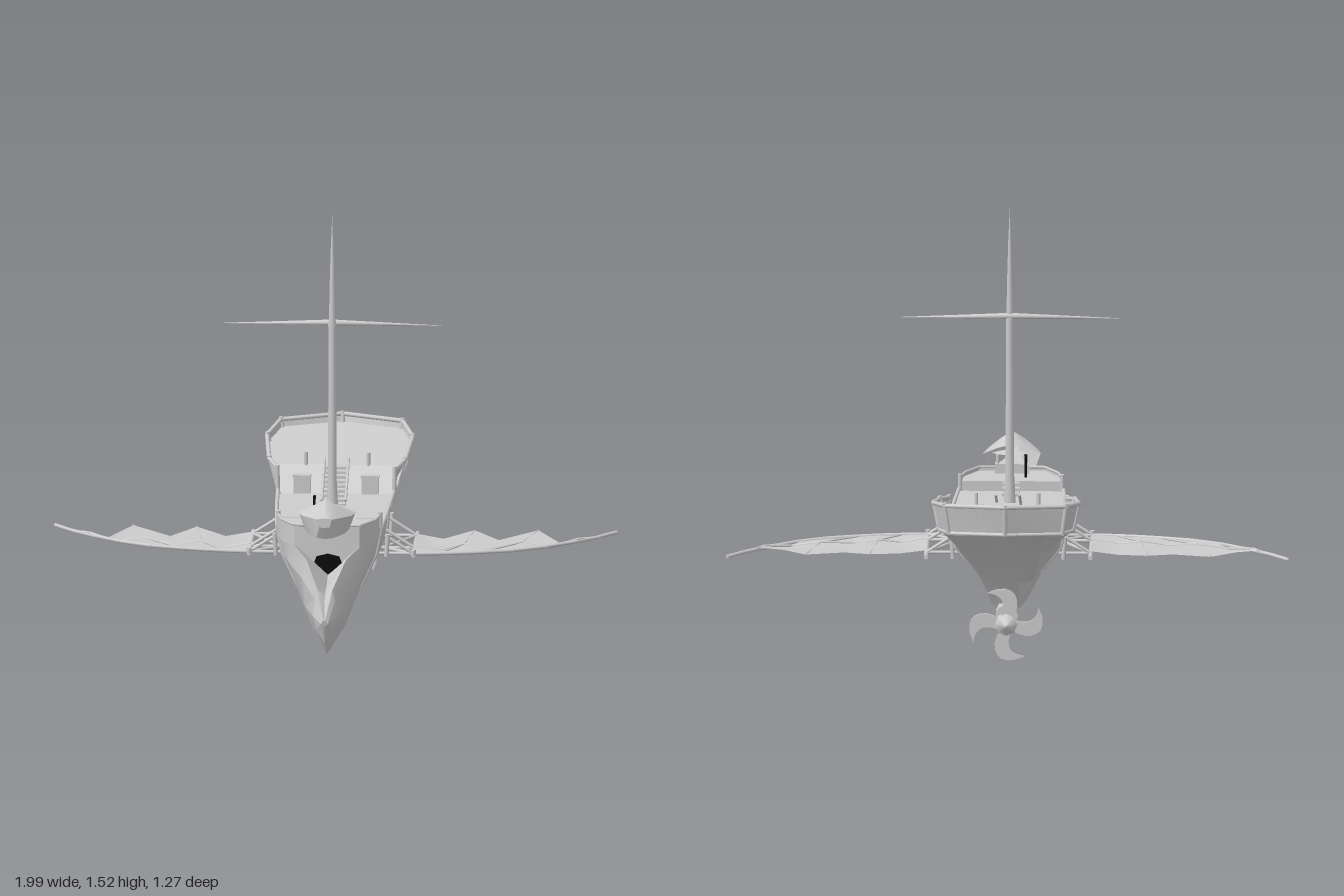
import * as THREE from 'three';
import { toCreasedNormals } from 'three/addons/utils/BufferGeometryUtils.js';

const grey = new THREE.MeshStandardMaterial({ color: 0xcccccc, side: THREE.DoubleSide });
grey.name = 'pale grey';
const black = new THREE.MeshStandardMaterial({ color: 0x0a0a0a, side: THREE.DoubleSide });
black.name = 'black';

export function createModel() {
  const ship = new THREE.Group();
  ship.name = 'wingedShip';
  const V = (p) => new THREE.Vector3(...p);
  const flip = ([x, y, z]) => [-x, y, z];
  const lerp = (a, b, t) => a.map((v, i) => v + (b[i] - v) * t);

  function add(name, geo, mat = grey, parent = ship) {
    const m = new THREE.Mesh(geo, mat);
    m.name = name;
    parent.add(m);
    return m;
  }
  // Skin stretched over rows of points
  function skin(name, rows, crease = 0.5, parent = ship) {
    const n = rows[0].length, idx = [];
    for (let i = 0; i < rows.length - 1; i++)
      for (let j = 0; j < n - 1; j++) {
        const a = i * n + j, b = a + n;
        idx.push(a, b, a + 1, b, b + 1, a + 1);
      }
    const g = new THREE.BufferGeometry();
    g.setAttribute('position', new THREE.Float32BufferAttribute(rows.flat(2), 3));
    g.setIndex(idx);
    return add(name, toCreasedNormals(g, crease), grey, parent);
  }
  // Round bar from a to b
  function bar(name, a, b, r = 0.006, mat = grey, r2 = r, parent = ship) {
    const p = V(a), q = V(b), d = q.clone().sub(p);
    const m = add(name, new THREE.CylinderGeometry(r2, r, d.length(), 8), mat, parent);
    m.position.copy(p).add(q).multiplyScalar(0.5);
    m.quaternion.setFromUnitVectors(new THREE.Vector3(0, 1, 0), d.normalize());
    return m;
  }
  function rail(name, pts, r = 0.006, parent = ship) {
    for (let i = 0; i < pts.length - 1; i++) bar(name, pts[i], pts[i + 1], r, grey, r, parent);
  }
  function box(name, w, h, d, x, y, z) {
    const m = add(name, new THREE.BoxGeometry(w, h, d));
    m.position.set(x, y, z);
    return m;
  }
  const around = (half) => [...half, ...half.slice(0, -1).reverse().map(flip)];

  // Hull: z, keel height, then low, chine, side and top points
  const sections = [
    [0.635, 0.16, [0.008, 0.165], [0.012, 0.17], [0.008, 0.177], [0.003, 0.185]],
    [0.6, 0.09, [0.03, 0.14], [0.042, 0.19], [0.036, 0.25], [0.026, 0.285]],
    [0.5, 0.03, [0.045, 0.11], [0.075, 0.2], [0.085, 0.3], [0.07, 0.37]],
    [0.38, 0, [0.06, 0.1], [0.1, 0.21], [0.14, 0.33], [0.145, 0.42]],
    [0.3, 0.01, [0.065, 0.11], [0.11, 0.22], [0.165, 0.34], [0.185, 0.44]],
    [0.05, 0.045, [0.07, 0.12], [0.12, 0.215], [0.185, 0.33], [0.198, 0.45]],
    [-0.17, 0.09, [0.06, 0.15], [0.11, 0.26], [0.185, 0.35], [0.205, 0.45]],
    [-0.25, 0.105, [0.04, 0.15], [0.09, 0.25], [0.175, 0.36], [0.215, 0.46]],
    [-0.34, 0.25, [0.04, 0.262], [0.1, 0.3], [0.17, 0.39], [0.225, 0.473]],
    [-0.45, 0.38, [0.06, 0.385], [0.12, 0.4], [0.18, 0.44], [0.235, 0.485]],
    [-0.56, 0.485, [0.08, 0.485], [0.14, 0.487], [0.18, 0.49], [0.2, 0.5]],
    [-0.6, 0.504, [0.01, 0.504], [0.02, 0.504], [0.03, 0.504], [0.04, 0.505]],
  ].map(([z, k, ...pts]) => [[0, k, z], ...pts.map(([x, y]) => [x, y, z])]);
  skin('hull', sections.map((s) => around([...s].reverse())), 0.3);

  // Open trough in the bow with a dark recess at its end
  const trough = [0.18, 0.262, 0.27, 0.285].map((y, i) => [sections[i][4], [0, y, sections[i][4][2]], flip(sections[i][4])]);
  skin('bowTrough', trough);
  const [rimL, troughEnd, rimR] = trough[3];
  skin('troughEndWall', [[rimL, rimR], [troughEnd, troughEnd]]);
  const mouth = new THREE.Shape([[-0.05, 0], [-0.04, 0.025], [0, 0.035], [0.04, 0.025],
    [0.05, 0], [0, -0.042]].map((p) => new THREE.Vector2(...p)));
  add('bowRecess', new THREE.ShapeGeometry(mouth), black).position.set(0, 0.328, 0.386);

  // Hull ribs and gunwale
  for (const f of [(p) => p, flip]) {
    for (const i of [4, 5, 6]) rail('hullRib', sections[i].slice(2).map(f), 0.007);
    rail('gunwale', sections.slice(4, 7).map((s) => f(s[4])), 0.007);
  }

  // Main deck and forecastle
  skin('mainDeck', [[0.3, 0.18], [0.05, 0.195], [-0.17, 0.2], [-0.25, 0.205]]
    .map(([z, x]) => [[x, 0.435, z], [-x, 0.435, z]]));
  const fore = [[0.18, 0.3], [0.165, 0.37], [0.115, 0.45], [0, 0.455]];
  const foreAt = (y) => around(fore.map(([x, z]) => [x, y, z]));
  skin('forecastleSide', [foreAt(0.405), foreAt(0.483)]);
  rail('forecastleRail', foreAt(0.483), 0.005);
  skin('foreDeck', fore.slice(0, 3).map(([x, z]) => [[x, 0.47, z], [-x, 0.47, z]]));
  box('forecastleBulkhead', 0.36, 0.04, 0.008, 0, 0.451, 0.3);
  for (let i = 0; i < 3; i++) box('foreStep', 0.06, 0.012, 0.027, 0, 0.441 + i * 0.011, 0.23 + i * 0.027);
  for (const s of [1, -1]) bar('forePost', [s * 0.18, 0.43, 0.3], [s * 0.18, 0.495, 0.3], 0.008);

  // Lookout shelter over the bow
  const shelter = [[0.45, 0.105, 0.53, 0.565, 0.47], [0.52, 0.085, 0.535, 0.597, 0.47],
    [0.6, 0.04, 0.545, 0.562, 0.475], [0.622, 0.025, 0.547, 0.552, 0.52]];
  skin('shelterRoof', shelter.map(([z, w, e, r]) => around([[w, e, z], [w * 0.5, (e + r) / 2 + 0.004, z], [0, r, z]])));
  skin('shelterSide', shelter.map(([z, w, e, , b]) => around([[w * 0.95, e, z], [w * 0.75, b, z], [0, b - 0.004, z]])));
  skin('shelterFront', [around([[0.025, 0.547, 0.622], [0, 0.552, 0.622]]),
    around([[0.019, 0.52, 0.622], [0, 0.516, 0.622]])]);
  const smallRoof = add('smallRoof', toCreasedNormals(new THREE.ConeGeometry(0.07, 0.016, 8), 0.2));
  smallRoof.position.set(0, 0.55, 0.42);
  smallRoof.scale.z = 0.5;
  for (const s of [1, -1]) bar('roofPost', [s * 0.05, 0.47, 0.42], [s * 0.05, 0.545, 0.42], 0.006);
  box('chartTable', 0.12, 0.035, 0.04, 0, 0.487, 0.425);
  bar('lever', [-0.05, 0.47, 0.355], [-0.05, 0.55, 0.355], 0.005, black);
  bar('leverHandle', [-0.05, 0.55, 0.357], [-0.05, 0.556, 0.325], 0.005, black);

  // Flared stern castle
  const low = [[0.205, 0.45, -0.17], [0.215, 0.46, -0.25], [0.235, 0.485, -0.45], [0.2, 0.5, -0.56], [0, 0.505, -0.6]];
  const high = [[0.208, 0.53, -0.17], [0.24, 0.545, -0.245], [0.257, 0.58, -0.44], [0.215, 0.603, -0.57], [0, 0.612, -0.628]];
  skin('sternBulwark', [around(low), around(high)], 0.3);
  rail('sternLowerRail', around(low), 0.007);
  rail('sternUpperRail', around(high), 0.008);
  around(low).forEach((p, i) => {
    const q = around(high)[i];
    bar('sternPost', p, [q[0], q[1] + 0.01, q[2]], 0.008);
  });
  const mid = low.map((p, i) => lerp(p, high[i], 0.75)).slice(1);
  const deckY = mid[0][1];
  skin('sternDeck', mid.map((p) => [p, flip(p)]));
  skin('sternBulkhead', [[mid[0], flip(mid[0])], [[0.2, 0.43, -0.18], [-0.2, 0.43, -0.18]]]);
  for (const s of [1, -1]) {
    box('sternDoor', 0.06, 0.07, 0.03, s * 0.12, 0.468, -0.19);
    box('doorHood', 0.065, 0.008, 0.03, s * 0.12, 0.503, -0.17);
    bar('sternDeckPost', [s * 0.11, deckY - 0.01, -0.25], [s * 0.11, deckY + 0.045, -0.25], 0.007);
    // Stair sides
    skin('stairSide', [[[s * 0.042, 0.435, 0], [s * 0.042, 0.52, -0.24]],
      [[s * 0.042, 0.455, 0], [s * 0.042, 0.555, -0.22]]]);
    bar('stairRail', [s * 0.042, 0.455, -0.005], [s * 0.042, 0.555, -0.22], 0.005);
  }
  for (let i = 0; i < 9; i++) box('stairStep', 0.084, 0.012, 0.03, 0, 0.438 + i * 0.01, -0.015 - i * 0.027);

  // Mast and yard
  const mastProfile = [[0.022, 0.43], [0.02, 0.48], [0.016, 0.55], [0.013, 1.11], [0.016, 1.12],
    [0.012, 1.14], [0.01, 1.25], [0.0055, 1.4], [0, 1.52]].map((p) => new THREE.Vector2(...p));
  add('mast', new THREE.LatheGeometry(mastProfile, 10)).position.z = 0.09;
  for (const s of [1, -1]) bar('yard', [0, 1.127, 0.085], [s * 0.385, 1.12, 0.085], 0.011, grey, 0.001);

  // Wings
  const ribs = [[0.29, 0.165, 0.29, -0.09], [0.38, 0.157, 0.385, -0.08], [0.45, 0.147, 0.49, -0.15],
    [0.53, 0.13, 0.58, -0.07], [0.64, 0.1, 0.715, -0.16], [0.75, 0.045, 0.8, -0.035],
    [0.85, -0.03, 0.885, -0.065], [0.93, -0.1, 0.945, -0.12], [0.99, -0.17, 0.995, -0.175]];
  for (const s of [1, -1]) {
    const wing = new THREE.Group();
    wing.name = s > 0 ? 'leftWing' : 'rightWing';
    ship.add(wing);
    const at = (i, t) => {
      const [x, z, tx, tz] = ribs[i];
      const wave = (i % 2 ? -0.012 : 0.01) * Math.sin(t * 2.4) * (i < 7 ? 1 : 0.3);
      return [s * (x + (tx - x) * t), 0.31 + wave, z + (tz - z) * t];
    };
    skin('wingMembrane', ribs.map((_, i) => [0, 0.33, 0.66, 1].map((t) => at(i, t))), 1.5, wing);
    rail('leadingSpar', ribs.map((_, i) => at(i, 0)), 0.007, wing);
    rail('innerSpar', ribs.map((_, i) => at(i, 0.33)), 0.005, wing);
    for (const i of [2, 4, 6]) rail('wingBone', [at(i - 1, 0), at(i, 0.33), at(i, 1)], 0.003, wing);
    // Mounting frame
    const strut = (a, b, r = 0.006) => bar('wingStrut', [s * a[0], a[1], a[2]], [s * b[0], b[1], b[2]], r, grey, r, wing);
    strut([0.29, 0.305, 0.175], [0.29, 0.305, -0.145], 0.008);
    for (const z of [0.165, 0.085, -0.09]) {
      strut([0.17, 0.31, z], [0.29, 0.31, z]);
      strut([0.19, 0.375, z], [0.29, 0.31, z]);
    }
    strut([0.18, 0.31, 0.085], [0.29, 0.31, 0.165]);
    strut([0.18, 0.31, 0.085], [0.29, 0.31, -0.09]);
    strut([0.29, 0.305, 0.17], [0.29, 0.325, 0.17], 0.009);
    strut([0.195, 0.3, 0.17], [0.2, 0.38, 0.17], 0.008);
    strut([0.195, 0.3, -0.14], [0.2, 0.38, -0.14], 0.008);
  }

  // Propeller with hooked blades
  bar('shaftHousing', [0, 0.145, -0.22], [0, 0.145, -0.34], 0.04);
  bar('propellerShaft', [0, 0.145, -0.33], [0, 0.145, -0.46], 0.01);
  bar('propellerHub', [0, 0.145, -0.45], [0, 0.145, -0.47], 0.04);
  bar('propellerCap', [0, 0.145, -0.47], [0, 0.145, -0.497], 0.04, grey, 0.004);
  const blade = new THREE.Shape();
  blade.moveTo(0.02, 0.02);
  blade.bezierCurveTo(0.08, 0.065, 0.165, 0.035, 0.115, -0.065);
  blade.bezierCurveTo(0.11, -0.015, 0.08, 0.005, 0.02, -0.02);
  const bladeGeo = new THREE.ExtrudeGeometry(blade, { depth: 0.008, bevelEnabled: false, curveSegments: 8 });
  for (let i = 0; i < 4; i++) {
    const m = add('propellerBlade', bladeGeo);
    m.position.set(0, 0.145, -0.47);
    m.rotation.z = (i * Math.PI) / 2;
  }
  return ship;
}
